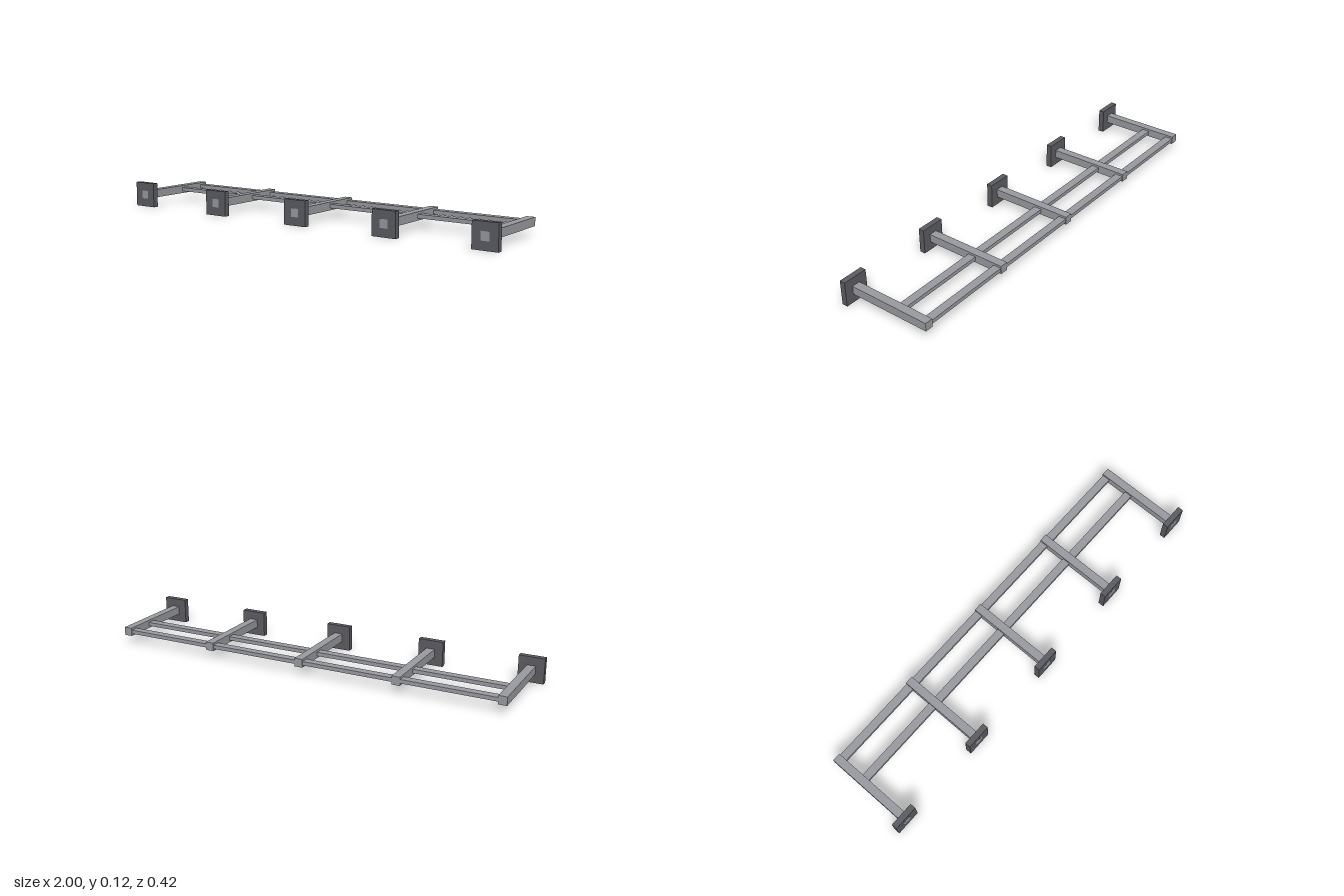
import * as THREE from 'three';

const steel = new THREE.MeshStandardMaterial({ color: 0x9a9ca2 });
const darkSteel = new THREE.MeshStandardMaterial({ color: 0x5c5d63 });

const MID_Y = 0.059;   // every part is centred on this height
const SPACING = 0.47;  // distance between brackets

function bar(name, material, w, h, d, x, z) {
  const mesh = new THREE.Mesh(new THREE.BoxGeometry(w, h, d), material);
  mesh.name = name;
  mesh.position.set(x, MID_Y, z);
  return mesh;
}

export function createModel() {
  const model = new THREE.Group();
  model.name = 'wallRack';

  // Five brackets: a square mounting plate with an arm running through it
  for (let i = -2; i <= 2; i++) {
    const bracket = new THREE.Group();
    bracket.name = 'bracket';
    bracket.position.x = i * SPACING;
    bracket.add(
      bar('mountingPlate', darkSteel, 0.118, 0.118, 0.027, 0, 0.198),
      bar('arm', steel, 0.039, 0.039, 0.4235, 0, 0)
    );
    model.add(bracket);
  }

  // Two flat rails joining the arms, ending inside the outer ones
  for (const [name, z] of [['backRail', -0.19], ['middleRail', -0.053]]) {
    model.add(bar(name, steel, 4 * SPACING, 0.018, 0.038, 0, z));
  }

  return model;
}
